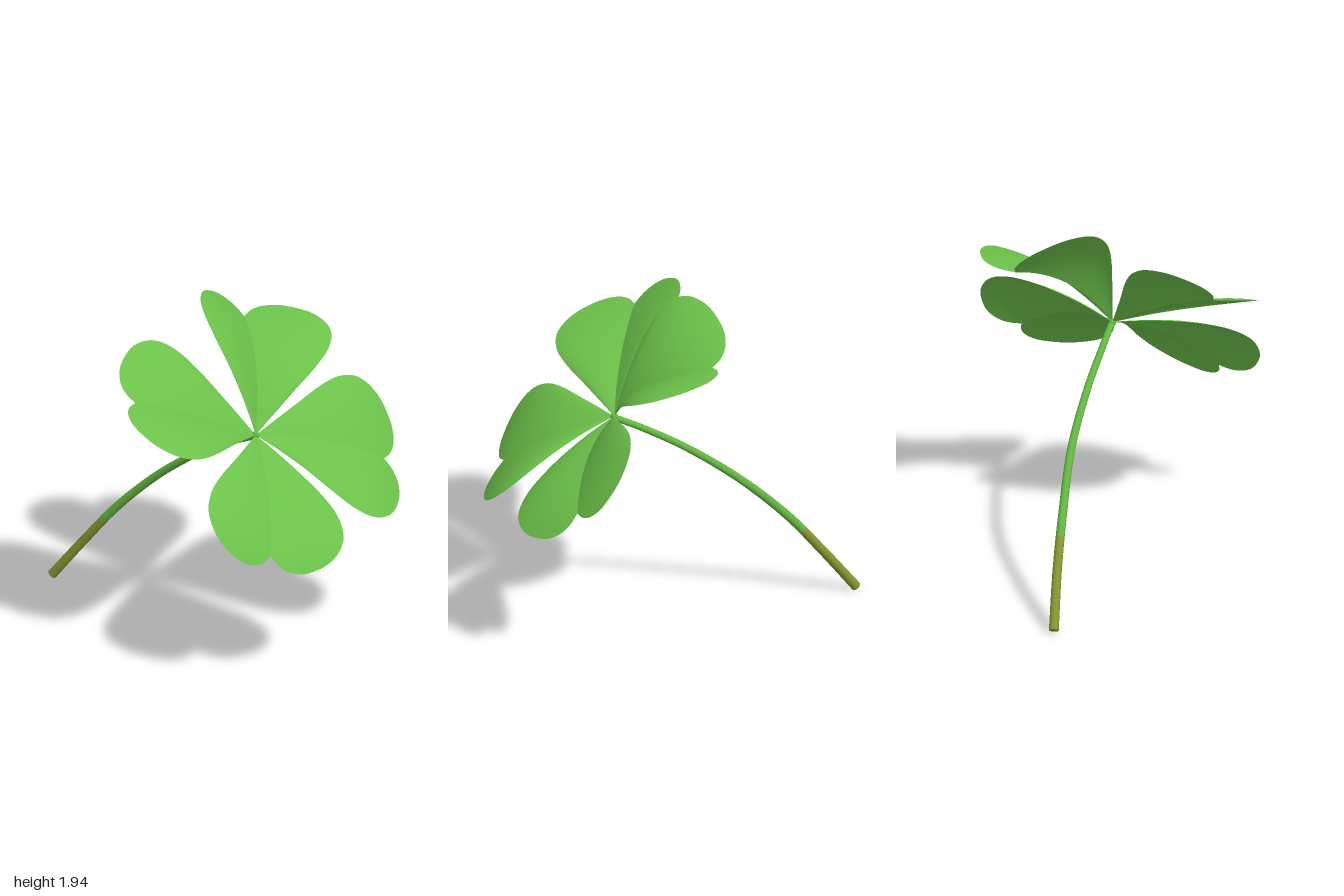
import * as THREE from 'three';

const leafGreen = new THREE.MeshStandardMaterial({ color: 0x6cc24a, side: THREE.DoubleSide });
leafGreen.name = 'leafGreen';
const stemGreen = new THREE.MeshStandardMaterial({ color: 0x62b63f });
stemGreen.name = 'stemGreen';
const stemOlive = new THREE.MeshStandardMaterial({ color: 0x84952f });
stemOlive.name = 'stemOlive';

const V = (x, y, z) => new THREE.Vector3(x, y, z);
const hub = V(-0.02, 1.26, 0.26);
const up = V(0.17, 0.75, 0.63).normalize(); // direction the clover head faces

// Half of a heart: x runs along the midrib, y out to the side
const halfHeart = new THREE.SplineCurve([
  [0, 0], [0.29, 0.24], [0.49, 0.41], [0.66, 0.52], [0.83, 0.55],
  [0.99, 0.465], [1.09, 0.3], [1.105, 0.17], [1.07, 0.07], [1, 0],
].map(([a, b]) => new THREE.Vector2(a, b)));

// Each leaf: midrib vector, the side vectors of its halves, and how far it arches
const leaves = [
  { name: 'backLeaf', rib: V(0.21, 0.43, -0.57), sides: [V(-0.61, 0.525, 0.14), V(0.76, 0, 0.25)], arch: 0.08 },
  { name: 'leftLeaf', rib: V(0.73, -0.25, 0.1), sides: [V(0.2, 0.54, -0.53), V(-0.2, -0.41, 0.64)], arch: 0.065 },
  { name: 'frontLeaf', rib: V(-0.22, -0.41, 0.64), sides: [V(-0.67, 0.33, -0.03), V(0.74, -0.19, 0.12)], arch: 0.06 },
  { name: 'rightLeaf', rib: V(-0.725, 0.34, -0.01), sides: [V(0.21, 0.46, -0.54), V(-0.1, -0.22, 0.73)], arch: 0.03 },
];

// Sheet from the midrib out to the heart outline
function halfLeaf({ rib, arch }, side) {
  const rows = 40, cols = 10, positions = [], index = [];
  for (let i = 0; i <= rows; i++) {
    const t = i / rows, edge = halfHeart.getPoint(t);
    for (let j = 0; j <= cols; j++) {
      const q = j / cols;
      const a = THREE.MathUtils.lerp(t, edge.x, q), b = edge.y * q;
      const lift = 4 * arch * a * (1 - a) + 0.16 * edge.y * q * (1 - q);
      const p = hub.clone().addScaledVector(rib, a).addScaledVector(side, b).addScaledVector(up, lift);
      positions.push(p.x, p.y, p.z);
      if (i < rows && j < cols) {
        const k = i * (cols + 1) + j, m = k + cols + 1;
        index.push(k, m, k + 1, m, m + 1, k + 1);
      }
    }
  }
  const geometry = new THREE.BufferGeometry();
  geometry.setAttribute('position', new THREE.Float32BufferAttribute(positions, 3));
  geometry.setIndex(index);
  geometry.computeVertexNormals();
  return geometry;
}

// Curved stem, thicker at the foot, with an olive lower end
function makeStem() {
  const stem = new THREE.Group();
  stem.name = 'stem';
  const path = new THREE.CatmullRomCurve3([
    V(-0.02, 1.25, 0.25), V(-0.07, 1.18, 0.12), V(-0.16, 1.03, -0.12), V(-0.28, 0.8, -0.4),
    V(-0.42, 0.53, -0.64), V(-0.525, 0.29, -0.81), V(-0.645, 0.023, -0.982),
  ]);
  const steps = 50, sides = 14, radius = 0.027;
  const geometry = new THREE.TubeGeometry(path, steps, radius, sides);
  const pos = geometry.attributes.position, p = new THREE.Vector3();
  for (let i = 0; i < pos.count; i++) {
    const t = Math.floor(i / (sides + 1)) / steps;
    const centre = path.getPointAt(t);
    p.fromBufferAttribute(pos, i).sub(centre).multiplyScalar(0.68 + 0.32 * t).add(centre);
    pos.setXYZ(i, p.x, p.y, p.z);
  }
  const split = 36 * sides * 6;
  geometry.addGroup(0, split, 0);
  geometry.addGroup(split, Infinity, 1);
  const stalk = new THREE.Mesh(geometry, [stemGreen, stemOlive]);
  stalk.name = 'stalk';

  // Flat cut at the foot
  const cut = new THREE.Mesh(new THREE.CircleGeometry(radius, sides), stemOlive);
  cut.name = 'stemCut';
  cut.position.copy(path.getPointAt(1));
  cut.quaternion.setFromUnitVectors(V(0, 0, 1), path.getTangentAt(1));
  stem.add(stalk, cut);
  return stem;
}

export function createModel() {
  const clover = new THREE.Group();
  clover.name = 'clover';
  for (const leaf of leaves) {
    const group = new THREE.Group();
    group.name = leaf.name;
    leaf.sides.forEach((side, i) => {
      const half = new THREE.Mesh(halfLeaf(leaf, side), leafGreen);
      half.name = `${leaf.name}Half${i + 1}`;
      group.add(half);
    });
    clover.add(group);
  }

  // Small knob where the leaves meet
  const knob = new THREE.Mesh(new THREE.SphereGeometry(0.021, 16, 12), stemGreen);
  knob.name = 'leafJoint';
  knob.position.copy(hub);
  clover.add(knob, makeStem());
  return clover;
}
